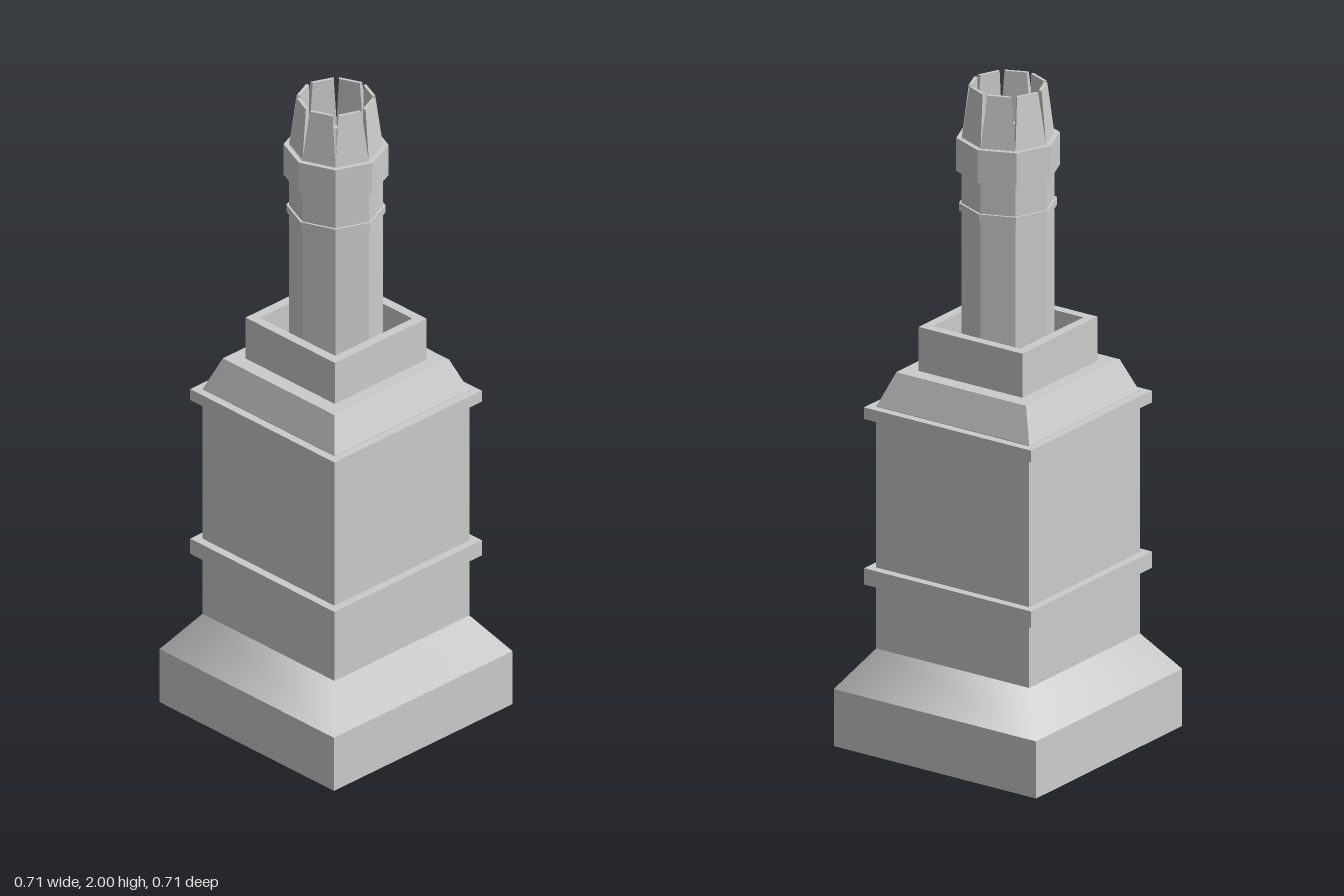
import * as THREE from 'three';

const flat = new THREE.MeshStandardMaterial({ color: 0xcccccc, flatShading: true, side: THREE.DoubleSide });
const smooth = new THREE.MeshStandardMaterial({ color: 0xcccccc, side: THREE.DoubleSide });

export function createModel() {
  const model = new THREE.Group();

  const add = (name, geometry, material = flat) => {
    const mesh = new THREE.Mesh(geometry, material);
    mesh.name = name;
    model.add(mesh);
  };
  const points = (profile, scale) => profile.map(([r, y]) => new THREE.Vector2(r * scale, y));
  // square section: profile of [half width, height]
  const square = (name, profile, material) =>
    add(name, new THREE.LatheGeometry(points(profile, Math.SQRT2), 4, Math.PI / 4), material);
  // octagonal section with corners on the axes: profile of [corner radius, height]
  const octagon = (name, profile) => add(name, new THREE.LatheGeometry(points(profile, 1), 8));

  // hollow pedestal, open below
  square('basePlinth', [[0.357, 0], [0.357, 0.175]]);
  square('baseSlope', [[0.357, 0.175], [0.27, 0.292]], smooth);
  square('body', [[0.27, 0.292], [0.27, 1.035]]);
  for (const [name, y0, y1] of [['lowerBand', 0.49, 0.54], ['upperBand', 0.997, 1.033]]) {
    square(name, [[0.27, y0], [0.295, y0], [0.295, y1], [0.27, y1]]);
  }
  square('shoulder', [[0.27, 1.033], [0.229, 1.135], [0, 1.135]]);

  // square collar with a sunken well around the pipe
  square('collar', [[0.183, 1.135], [0.183, 1.27], [0.154, 1.27], [0.154, 1.135]]);

  // eight-sided pipe with a shallow bore at the top
  octagon('pipe', [[0.135, 1.135], [0.135, 1.845], [0.088, 1.845], [0.088, 1.745], [0, 1.745]]);
  octagon('thinRing', [[0.135, 1.62], [0.142, 1.62], [0.142, 1.643], [0.135, 1.643]]);
  octagon('thickRing', [[0.135, 1.742], [0.15, 1.742], [0.15, 1.843], [0.135, 1.843]]);

  // crown of eight tapered plates with V-shaped slits at the corners
  const eighth = Math.PI / 8;
  for (let i = 0; i < 8; i++) {
    const plate = new THREE.BoxGeometry(1, 1, 1);
    const p = plate.attributes.position;
    for (let v = 0; v < p.count; v++) {
      const top = p.getY(v) > 0, outer = p.getZ(v) > 0;
      const r = outer ? (top ? 0.116 : 0.134) : (top ? 0.106 : 0.109);
      const halfWidth = r * Math.sin(eighth) * (top ? 0.8 : 1);
      p.setXYZ(v, Math.sign(p.getX(v)) * halfWidth, top ? 2 : 1.845, r * Math.cos(eighth));
    }
    plate.rotateY(eighth * (2 * i + 1));
    plate.computeVertexNormals();
    add('crownPlate', plate);
  }
  return model;
}
